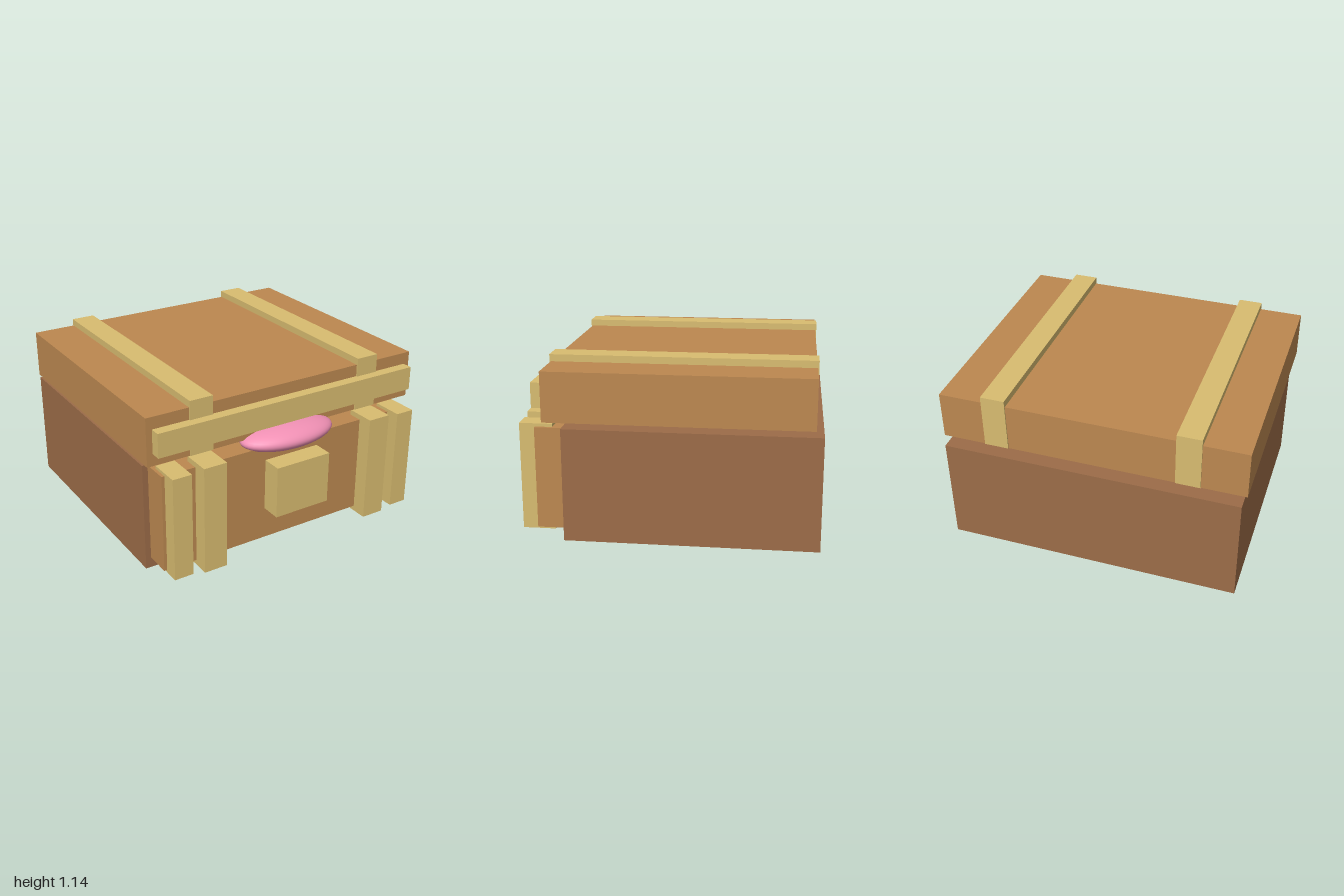
import * as THREE from 'three';

const material = (color) => new THREE.MeshStandardMaterial({ color });

export function createModel() {
  const group = new THREE.Group();
  const darkWood = material(0x9c6c48);
  const wood = material(0xbc8850);
  const brass = material(0xd8bc70);
  const pink = material(0xf090b4);
  const purple = material(0x7e5490);

  // Box given by its extents on each axis
  const box = (name, mat, [x0, x1], [y0, y1], [z0, z1]) => {
    const mesh = new THREE.Mesh(new THREE.BoxGeometry(x1 - x0, y1 - y0, z1 - z0), mat);
    mesh.position.set((x0 + x1) / 2, (y0 + y1) / 2, (z0 + z1) / 2);
    mesh.name = name;
    group.add(mesh);
  };

  const ellipsoid = (name, mat, center, radii) => {
    const mesh = new THREE.Mesh(new THREE.SphereGeometry(1, 40, 24), mat);
    mesh.position.set(...center);
    mesh.scale.set(...radii);
    mesh.name = name;
    group.add(mesh);
  };

  // Chest body and front panel
  box('body', darkWood, [-0.977, 0.977], [0, 0.735], [-0.96, 0.65]);
  box('frontPanel', wood, [-0.94, 0.94], [0.07, 0.73], [0.6, 0.825]);

  // Raised lid with its front rail
  box('lid', wood, [-1, 1], [0.78, 1.1], [-0.91, 0.762]);
  box('lidRail', brass, [-0.96, 0.96], [0.86, 1.02], [0.72, 0.832]);

  // Mirrored lid straps and front posts
  for (const [side, s] of [['left', 1], ['right', -1]]) {
    const span = (a, b) => (s > 0 ? [a, b] : [-b, -a]);
    box(side + 'LidStrap', brass, span(0.55, 0.71), [0.782, 1.145], [-0.918, 0.771]);
    box(side + 'InnerPost', brass, span(0.55, 0.71), [0.035, 0.765], [0.73, 0.93]);
    box(side + 'OuterPost', brass, span(0.79, 0.92), [0.053, 0.75], [0.715, 0.925]);
  }

  // Lock plate
  box('lockPlate', brass, [-0.2, 0.2], [0.287, 0.637], [0.78, 0.96]);

  // Tongue at the opening and the mound inside
  ellipsoid('tongue', pink, [0, 0.757, 0.763], [0.34, 0.083, 0.176]);
  ellipsoid('innerMound', purple, [0, 0.68, -0.2], [0.3, 0.097, 0.27]);

  return group;
}
